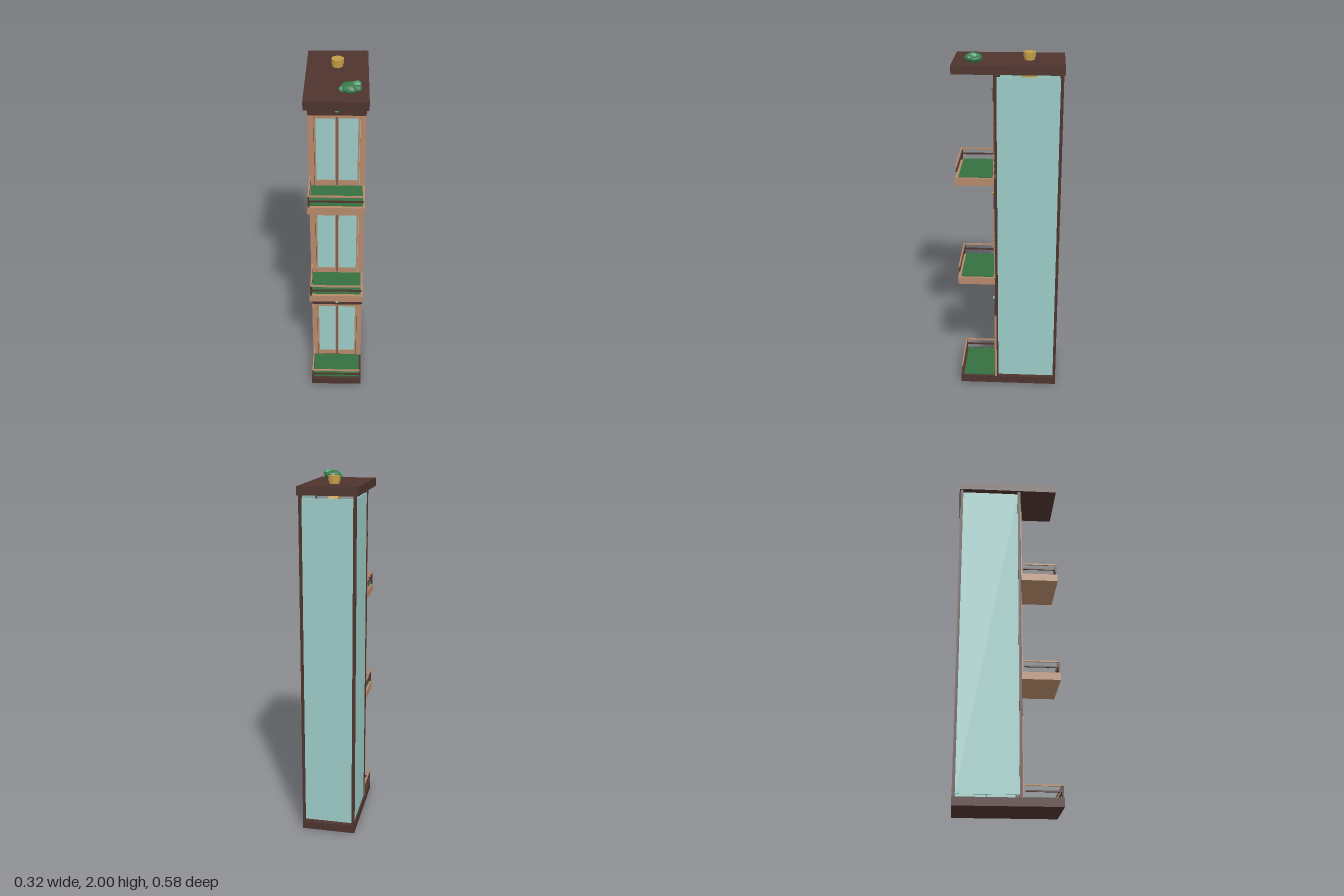
import * as THREE from 'three';

const mat = (name, color) => {
  const m = new THREE.MeshStandardMaterial({ color });
  m.name = name;
  return m;
};

export function createModel() {
  const darkWood = mat('dark wood', 0x4e342e);
  const tanWood = mat('tan wood', 0xb5896a);
  const glass = mat('glass', 0x9bcac5);
  const grass = mat('grass', 0x357040);
  const bushGreen = mat('bush green', 0x3a7a4a);
  const leafGreen = mat('leaf green', 0x4fa273);
  const brass = mat('brass', 0xbf9b45);
  const steel = mat('steel', 0x7d8c8c);
  bushGreen.flatShading = leafGreen.flatShading = true;

  const model = new THREE.Group();
  model.name = 'elevatorTower';

  const add = (parent, name, geo, material, x, y, z) => {
    const mesh = new THREE.Mesh(geo, material);
    mesh.name = name;
    mesh.position.set(x, y, z);
    parent.add(mesh);
    return mesh;
  };
  // box given by its limits on each axis
  const box = (parent, name, material, [x0, x1], [y0, y1], [z0, z1]) =>
    add(parent, name, new THREE.BoxGeometry(x1 - x0, y1 - y0, z1 - z0), material,
      (x0 + x1) / 2, (y0 + y1) / 2, (z0 + z1) / 2);

  // base and overhanging roof
  box(model, 'base', darkWood, [-0.15, 0.15], [0, 0.045], [-0.285, 0.285]);
  box(model, 'roof', darkWood, [-0.158, 0.158], [1.9, 1.945], [-0.29, 0.29]);

  // shaft: corner posts, side and back glass, hanging cables
  for (const s of [-1, 1]) {
    for (const z of [-0.276, 0.067]) {
      add(model, 'cornerPost', new THREE.BoxGeometry(0.016, 1.855, 0.016), darkWood, s * 0.142, 0.9725, z);
    }
    add(model, 'sideGlass', new THREE.BoxGeometry(0.006, 1.825, 0.328), glass, s * 0.142, 0.9725, -0.104);
    add(model, 'cable', new THREE.CylinderGeometry(0.003, 0.003, 1.8, 8), steel, s * 0.037, 0.945, -0.105);
  }
  box(model, 'backGlass', glass, [-0.134, 0.134], [0.06, 1.885], [-0.279, -0.273]);

  // pulley under the roof and brass cap on it
  const pulley = add(model, 'pulley', new THREE.CylinderGeometry(0.04, 0.04, 0.05, 24), brass, 0, 1.855, -0.105);
  pulley.rotation.z = Math.PI / 2;
  add(model, 'ventStem', new THREE.CylinderGeometry(0.028, 0.028, 0.03, 24), brass, 0, 1.957, -0.105);
  add(model, 'ventCap', new THREE.CylinderGeometry(0.032, 0.032, 0.026, 24), brass, 0, 1.972, -0.105);

  // one landing: platform, grass, rails, double doors, header and lamp
  const landing = (floor, platform, doorTop, lampMaterial) => {
    const g = new THREE.Group();
    g.name = 'landing';
    model.add(g);
    if (platform) {
      box(g, 'platform', tanWood, [-0.15, 0.15], [floor - 0.043, floor], [0.076, 0.285]);
    }
    box(g, 'grassMat', grass, [-0.138, 0.138], [floor, floor + 0.006], [0.085, 0.268]);

    // rails along the front and the right edge
    for (const [h, material] of [[0.066, tanWood], [0.035, darkWood]]) {
      const y = [floor + h - 0.004, floor + h + 0.004];
      box(g, 'frontRail', material, [-0.146, 0.142], y, [0.274, 0.282]);
      box(g, 'sideRail', material, [-0.146, -0.138], y, [0.088, 0.274]);
    }
    box(g, 'railPost', darkWood, [-0.147, -0.137], [floor, floor + 0.066], [0.273, 0.283]);

    // doors and frame
    for (const s of [-1, 1]) {
      const span = (a, b) => (s > 0 ? [a, b] : [-b, -a]);
      const zFrame = [0.068, 0.08], zDoor = [0.066, 0.077];
      box(g, 'doorJamb', tanWood, span(0.12, 0.15), [floor, doorTop], zFrame);
      box(g, 'doorStile', tanWood, span(0.002, 0.01), [floor, doorTop - 0.008], zDoor);
      box(g, 'doorStile', tanWood, span(0.109, 0.118), [floor, doorTop - 0.008], zDoor);
      box(g, 'doorTopRail', tanWood, span(0.01, 0.109), [doorTop - 0.018, doorTop - 0.008], zDoor);
      box(g, 'doorBottomRail', tanWood, span(0.01, 0.109), [floor, floor + 0.035], zDoor);
      box(g, 'doorGlass', glass, span(0.01, 0.109), [floor + 0.035, doorTop - 0.018], [0.069, 0.074]);
    }
    box(g, 'doorLintel', tanWood, [-0.12, 0.12], [doorTop - 0.008, doorTop], [0.068, 0.08]);
    box(g, 'doorSeam', darkWood, [-0.002, 0.002], [floor, doorTop - 0.008], [0.067, 0.072]);
    box(g, 'header', darkWood, [-0.145, 0.145], [doorTop, doorTop + 0.06], [0.068, 0.08]);
    const mount = add(g, 'lampMount', new THREE.CylinderGeometry(0.016, 0.016, 0.008, 20), darkWood, 0, doorTop + 0.033, 0.084);
    mount.rotation.x = Math.PI / 2;
    add(g, 'lamp', new THREE.SphereGeometry(0.012, 16, 12), lampMaterial, 0, doorTop + 0.033, 0.087);
  };
  landing(0.045, false, 0.475, glass);
  landing(0.727, true, 1.155, brass);
  landing(1.335, true, 1.76, leafGreen);

  // faceted bush on the roof
  const bush = new THREE.Group();
  bush.name = 'bush';
  model.add(bush);
  const clumps = [
    [bushGreen, 0.068, 1.966, 0.18, 0.05, 0.026, 0.046, 0.4],
    [leafGreen, 0.097, 1.982, 0.178, 0.028, 0.018, 0.025, 1.1],
    [leafGreen, 0.026, 1.964, 0.19, 0.017, 0.015, 0.022, 0.2],
    [bushGreen, 0.1, 1.972, 0.2, 0.024, 0.018, 0.023, 2.0],
    [bushGreen, 0.045, 1.968, 0.165, 0.025, 0.018, 0.023, 0.8],
  ];
  for (const [material, x, y, z, sx, sy, sz, turn] of clumps) {
    const clump = add(bush, 'leafClump', new THREE.IcosahedronGeometry(1, material === bushGreen ? 1 : 0), material, x, y, z);
    clump.scale.set(sx, sy, sz);
    clump.rotation.y = turn;
  }
  return model;
}
